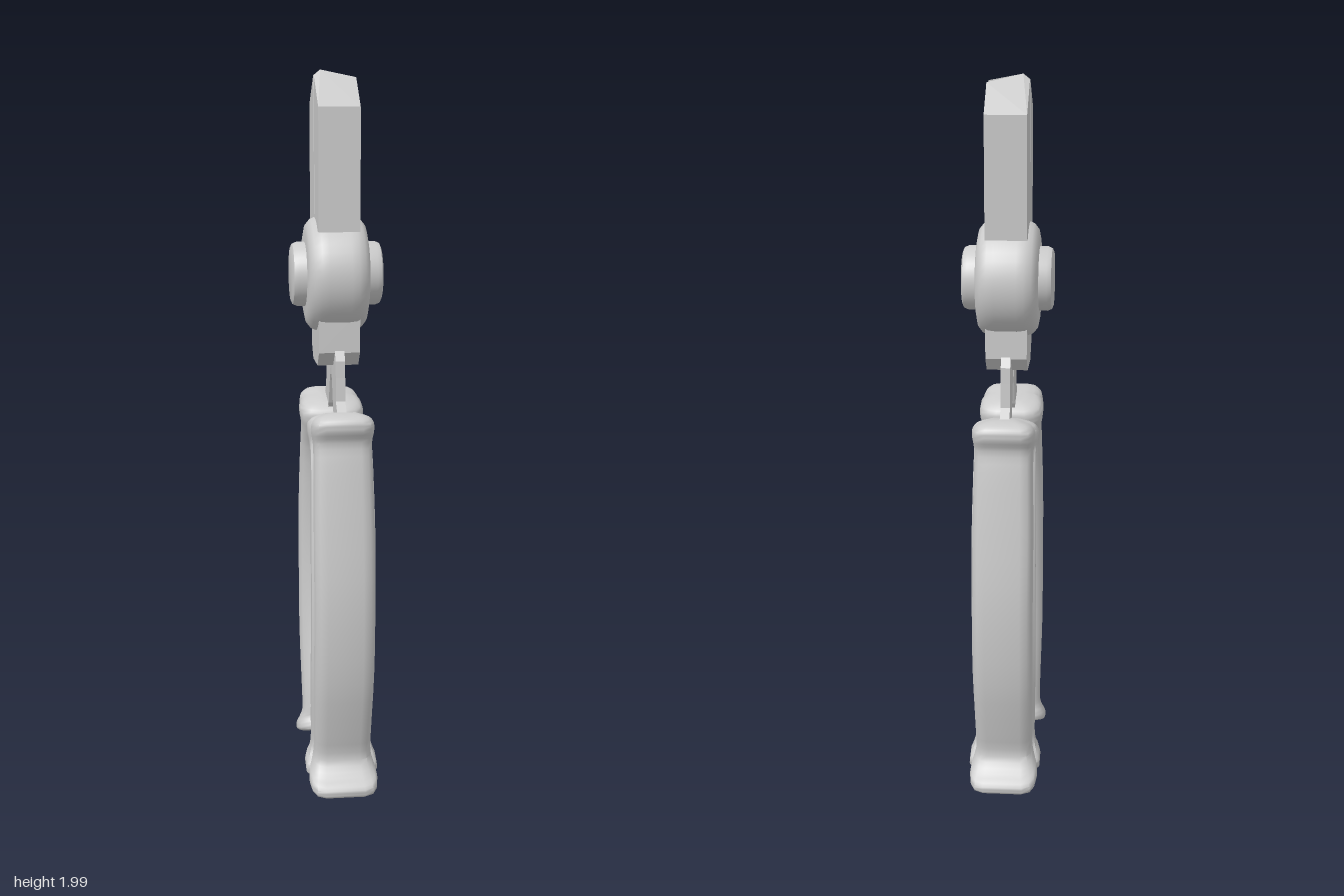
import * as THREE from 'three';
import { toCreasedNormals } from 'three/addons/utils/BufferGeometryUtils.js';
import { ConvexGeometry } from 'three/addons/geometries/ConvexGeometry.js';

const material = new THREE.MeshStandardMaterial({ color: 0xcccccc });

function part(name, geometry) {
  const mesh = new THREE.Mesh(geometry, material);
  mesh.name = name;
  return mesh;
}

// Round part turned about the x axis; profile holds [radius, x] pairs
function turned(profile) {
  const points = profile.map(([r, x]) => new THREE.Vector2(r, x));
  const g = new THREE.LatheGeometry(points, 40);
  g.rotateZ(-Math.PI / 2);
  return toCreasedNormals(g, 0.6).translate(0, 1.45, -0.004);
}

// Plate outlined by [z, y] pairs, with its thickness along x
function plate(outline, thickness) {
  const shape = new THREE.Shape(outline.map(([z, y]) => new THREE.Vector2(z, y)));
  const g = new THREE.ExtrudeGeometry(shape, { depth: thickness, bevelEnabled: false });
  return g.translate(0, 0, -thickness / 2).rotateY(-Math.PI / 2);
}

// Jaw with a slanted inner face that opens the groove on the +x side
function jaw(outerBottom, outerTop, grooveBottom, grooveTop, seamBottom, seamTop) {
  const back = -0.058, front = 0.055, deep = -0.04, base = 1.575;
  return new ConvexGeometry([
    [back, base, outerBottom], [front, base, outerBottom],
    [front, base, grooveBottom], [deep, base, seamBottom], [back, base, seamBottom],
    [back, 1.905, outerTop], [front, 1.905, outerTop],
    [front, 1.98, grooveTop], [deep, 2, seamTop], [back, 1.985, seamTop + Math.sign(outerTop) * 0.008],
  ].map((p) => new THREE.Vector3(...p)));
}

// Grip stations from foot to collar: inner z, inner y, outer z, outer y, half width
const gripStations = [
  [0.080, 0.074, 0.245, 0.008, 0.085],
  [0.063, 0.085, 0.264, 0.015, 0.100],
  [0.066, 0.102, 0.267, 0.034, 0.100],
  [0.078, 0.118, 0.235, 0.060, 0.093],
  [0.080, 0.140, 0.206, 0.100, 0.085],
  [0.090, 0.200, 0.222, 0.180, 0.085],
  [0.124, 0.365, 0.258, 0.345, 0.088],
  [0.143, 0.550, 0.270, 0.570, 0.088],
  [0.138, 0.760, 0.250, 0.790, 0.088],
  [0.105, 0.930, 0.227, 0.960, 0.085],
  [0.066, 0.990, 0.219, 1.020, 0.085],
  [0.052, 1.020, 0.234, 1.052, 0.090],
  [0.053, 1.045, 0.235, 1.075, 0.089],
  [0.068, 1.062, 0.220, 1.090, 0.076],
  [0.085, 1.075, 0.185, 1.097, 0.040],
];

// Half section: [position from inner to outer, fraction of half width]
const halfSection = [
  [0, 0.45], [0.04, 0.72], [0.13, 0.92], [0.27, 1], [0.49, 1],
  [0.53, 0.93], [0.7, 0.95], [0.86, 0.9], [0.96, 0.78], [1, 0.55],
];

function gripGeometry() {
  const inner = new THREE.CatmullRomCurve3(gripStations.map((s) => new THREE.Vector3(0, s[1], s[0])));
  const outer = new THREE.CatmullRomCurve3(gripStations.map((s) => new THREE.Vector3(s[4], s[3], s[2])));
  const ring = [...halfSection, ...halfSection.map(([u, w]) => [u, -w]).reverse()];
  const n = ring.length, rows = (gripStations.length - 1) * 3;
  const positions = [], index = [];
  for (let r = 0; r <= rows; r++) {
    const a = inner.getPoint(r / rows), b = outer.getPoint(r / rows);
    for (const [u, w] of ring) {
      positions.push(w * b.x, a.y + (b.y - a.y) * u, a.z + (b.z - a.z) * u);
    }
  }
  for (let r = 0; r < rows; r++) {
    for (let i = 0; i < n; i++) {
      const a = r * n + i, b = r * n + (i + 1) % n;
      index.push(a, a + n, b, b, a + n, b + n);
    }
  }
  // Close the foot and the collar
  const top = rows * n;
  for (let i = 1; i < n - 1; i++) {
    index.push(0, i, i + 1, top, top + i + 1, top + i);
  }
  const g = new THREE.BufferGeometry();
  g.setAttribute('position', new THREE.Float32BufferAttribute(positions, 3));
  g.setIndex(index);
  return toCreasedNormals(g, 0.75);
}

export function createModel() {
  const model = new THREE.Group();
  model.name = 'pliers';

  // Jaws
  model.add(part('frontJaw', jaw(0.115, 0.108, 0.072, 0.008, 0.002, -0.016)));
  model.add(part('backJaw', jaw(-0.126, -0.138, -0.086, -0.05, -0.004, -0.018)));

  // Pivot joint and the rivet through it
  model.add(part('pivotJoint', turned([
    [0, -0.086], [0.115, -0.086], [0.135, -0.082], [0.15, -0.07], [0.158, -0.05], [0.16, -0.03],
    [0.16, 0.03], [0.158, 0.05], [0.15, 0.067], [0.135, 0.079], [0.115, 0.083], [0, 0.083],
  ])));
  model.add(part('rivet', turned([
    [0, -0.124], [0.074, -0.124], [0.083, -0.12], [0.088, -0.108],
    [0.088, 0.108], [0.083, 0.12], [0.074, 0.124], [0, 0.124],
  ])));

  // Neck block below the joint
  model.add(part('neck', plate([
    [-0.1, 1.36], [-0.1, 1.245], [-0.058, 1.204], [0.058, 1.204], [0.1, 1.245], [0.1, 1.36],
  ], 0.113)));

  // Two mirrored handles
  const armGeometry = plate([
    [0.06, 1.27], [0.1, 1.25], [0.12, 1.225], [0.122, 1.18], [0.126, 1.115], [0.16, 1.085],
    [0.15, 1.04], [0.08, 1.04], [0.058, 1.075], [0.03, 1.145], [0.02, 1.165], [0.014, 1.21],
  ], 0.026);
  const grip = gripGeometry();
  ['frontHandle', 'backHandle'].forEach((name, i) => {
    const handle = new THREE.Group();
    handle.name = name;
    handle.add(part('arm', armGeometry), part('grip', grip));
    handle.rotation.y = i * Math.PI;
    model.add(handle);
  });

  return model;
}
